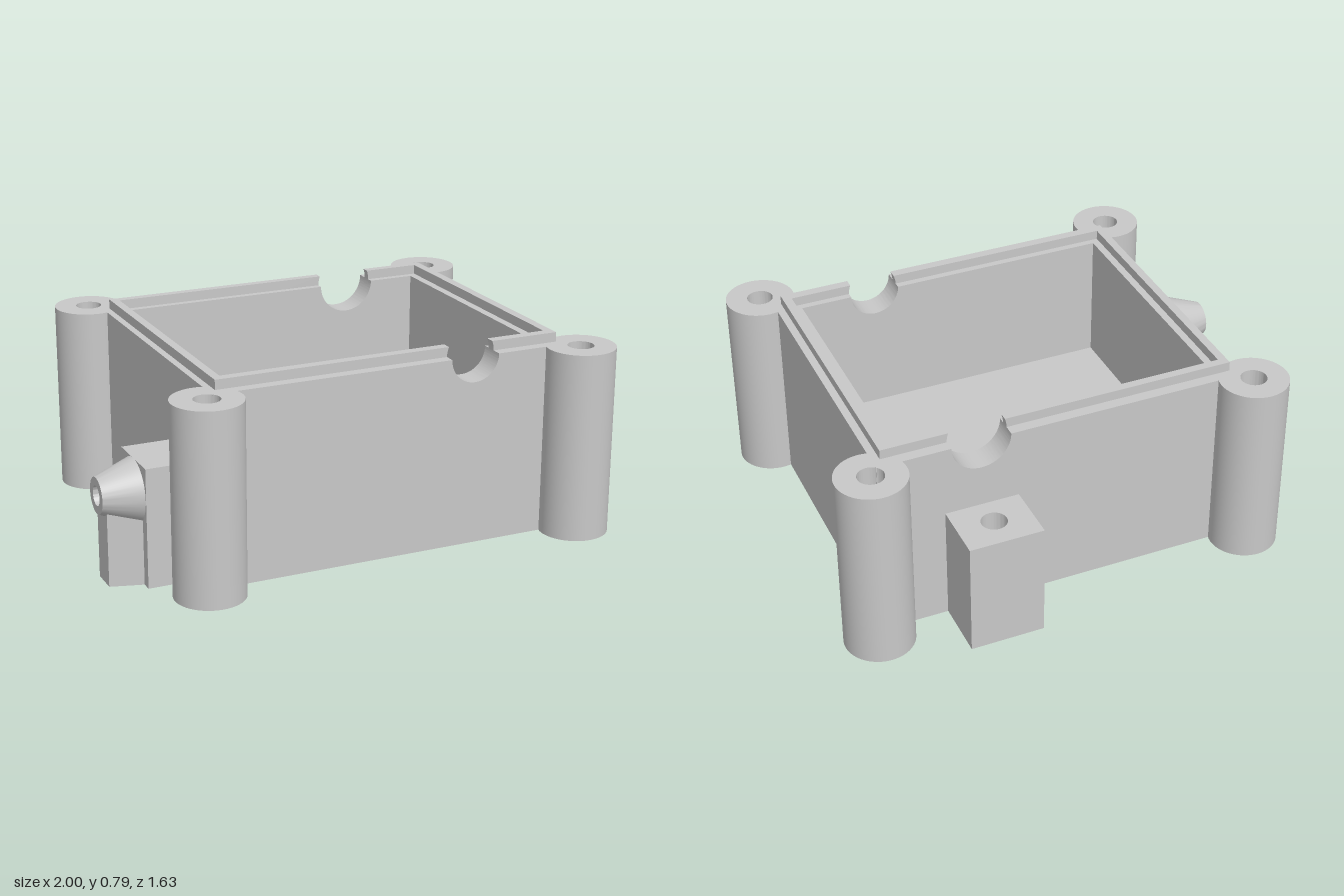
import * as THREE from 'three';
import { toCreasedNormals } from 'three/addons/utils/BufferGeometryUtils.js';

export function createModel() {
  const model = new THREE.Group();
  const grey = new THREE.MeshStandardMaterial({ color: 0xc8c8c8 });
  grey.name = 'grey plastic';

  const add = (name, geometry) => {
    const mesh = new THREE.Mesh(geometry, grey);
    mesh.name = name;
    model.add(mesh);
    return mesh;
  };
  const box = (name, x0, x1, y0, y1, z0, z1) => {
    const mesh = add(name, new THREE.BoxGeometry(x1 - x0, y1 - y0, z1 - z0));
    mesh.position.set((x0 + x1) / 2, (y0 + y1) / 2, (z0 + z1) / 2);
    return mesh;
  };
  // Plan rectangle, counter-clockwise
  const rect = (C, x0, x1, z0, z1) => {
    const s = new C();
    s.moveTo(x0, -z1).lineTo(x1, -z1).lineTo(x1, -z0).lineTo(x0, -z0).closePath();
    return s;
  };
  const extrude = (shape, depth) => toCreasedNormals(
    new THREE.ExtrudeGeometry(shape, { depth, bevelEnabled: false, curveSegments: 48 }), 0.5);
  // Plan shape raised from y0
  const slab = (name, shape, y0, y1) => {
    const mesh = add(name, extrude(shape, y1 - y0).rotateX(-Math.PI / 2));
    mesh.position.y = y0;
    return mesh;
  };
  const lathe = (points) => toCreasedNormals(
    new THREE.LatheGeometry(points.map(p => new THREE.Vector2(...p)), 64), 0.5);
  // Cylinder with a blind hole in its top
  const bored = (r, h, hole, depth) => lathe(
    [[0, 0], [r, 0], [r, h], [hole, h], [hole, h - depth], [0, h - depth]]);

  const X0 = -0.635, X1 = 0.83, Z0 = -0.581, Z1 = 0.643;   // outer shell
  const x0 = -0.545, x1 = 0.733, z0 = -0.477, z1 = 0.536;  // cavity
  const base = 0.15, floor = 0.23, rim = 0.752, lip = 0.79;
  const midX = 0.095, midZ = 0.03, notchX = 0.427;

  // Hollow underside with crossing ribs and two screw bosses
  const frame = rect(THREE.Shape, X0, X1, Z0, Z1);
  frame.holes.push(rect(THREE.Path, x0, x1, z0, z1));
  slab('baseFrame', frame, 0, base);
  box('floor', x0, x1, base, floor, z0, z1);
  box('baseCrossRib', midX - 0.05, midX + 0.05, 0, base, z0, z1);
  const bosses = [midX - 0.465, midX + 0.455];
  const ribEnds = [x0, bosses[0] - 0.1, bosses[0] + 0.1, bosses[1] - 0.1, bosses[1] + 0.1, x1];
  for (let i = 0; i < 6; i += 2)
    box('baseLongRib', ribEnds[i], ribEnds[i + 1], 0, base, midZ - 0.05, midZ + 0.05);
  for (const x of bosses) {
    const boss = add('baseBoss', lathe([[0, 0], [0.145, 0], [0.145, base], [0.065, base],
      [0.065, base - 0.02], [0.045, base - 0.02], [0.045, base - 0.1], [0, base - 0.1]]));
    boss.rotation.x = Math.PI;
    boss.position.set(x, base, midZ);
  }

  // Raised mount on the inner floor
  add('innerMount', bored(0.145, 0.08, 0.06, 0.06)).position.set(-0.07, floor, midZ);

  // Front and back walls and lips, each with a round cable notch
  const notched = (name, xa, xb, ya, top, za, zb, r) => {
    const a = Math.asin((top - rim) / r);
    const s = new THREE.Shape();
    s.moveTo(xa, ya).lineTo(xb, ya).lineTo(xb, top);
    s.absarc(notchX, rim, r, a, Math.PI - a, true);
    s.lineTo(xa, top).closePath();
    add(name, extrude(s, zb - za)).position.z = za;
  };
  notched('frontWall', X0, X1, base, rim, z1, Z1, 0.1);
  notched('backWall', X0, X1, base, rim, Z0, z0, 0.117);
  notched('frontLip', -0.608, 0.8, 0.55, lip, 0.563, 0.601, 0.1);
  notched('backLip', -0.608, 0.8, 0.55, lip, -0.537, -0.504, 0.117);

  // Side walls and lips
  box('rightWall', X0, x0, base, rim, z0, z1);
  box('leftWall', x1, X1, base, rim, z0, z1);
  box('rightLip', -0.608, -0.575, 0.7, lip, -0.504, 0.563);
  box('leftLip', 0.765, 0.8, 0.7, lip, -0.504, 0.563);

  // Corner screw posts
  for (const x of [-0.67, 0.863])
    for (const z of [-0.617, 0.68])
      add('cornerPost', bored(0.136, rim, 0.051, 0.5)).position.set(x, 0, z);

  // Back tab with a vertical through hole
  const tab = rect(THREE.Shape, 0.281, 0.574, -0.816, Z0);
  tab.holes.push(new THREE.Path().absarc(0.427, 0.692, 0.05, 0, Math.PI * 2, false));
  slab('backTab', tab, 0, 0.467);

  // Side block, tapered nozzle and the support under it
  const nz = 0.408;
  box('nozzleBlock', -0.855, X0, 0, 0.467, nz - 0.129, nz + 0.129);
  const nozzle = add('nozzle', lathe([[0.125, 0], [0.07, 0.145], [0.038, 0.145], [0.038, 0]]));
  nozzle.rotation.z = Math.PI / 2;
  nozzle.position.set(-0.855, 0.343, nz);
  const support = new THREE.Shape();
  support.moveTo(-0.855, -nz - 0.088).lineTo(-0.855, -nz + 0.088)
    .lineTo(-0.98, -nz + 0.053).lineTo(-0.98, -nz - 0.053).closePath();
  slab('nozzleSupport', support, 0, 0.286);

  return model;
}
